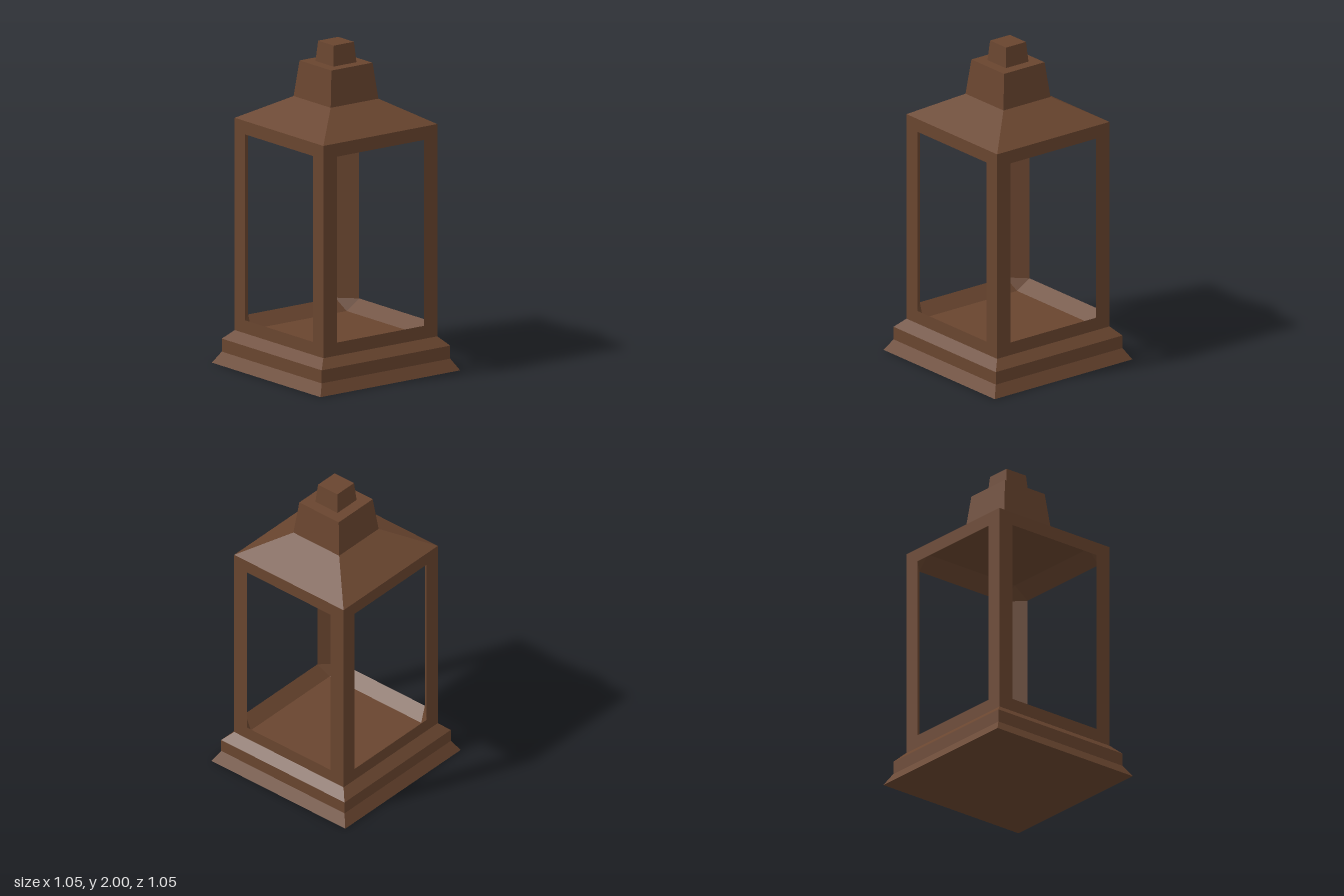
import * as THREE from 'three';

const bronze = new THREE.MeshStandardMaterial({ color: 0x69452f, flatShading: true });
bronze.name = 'bronzeBrown';

// Square tier stack from [half width, height] pairs, listed from bottom to top
function squareStack(name, profile) {
  const points = profile.map(([half, y]) => new THREE.Vector2(half * Math.SQRT2, y));
  const geometry = new THREE.LatheGeometry(points, 4);
  geometry.rotateY(Math.PI / 4);
  const mesh = new THREE.Mesh(geometry, bronze);
  mesh.name = name;
  return mesh;
}

// Convex polygons as triangle fans
function facets(name, polygons) {
  const positions = [];
  for (const p of polygons) {
    for (let i = 1; i < p.length - 1; i++) positions.push(...p[0], ...p[i], ...p[i + 1]);
  }
  const geometry = new THREE.BufferGeometry();
  geometry.setAttribute('position', new THREE.Float32BufferAttribute(positions, 3));
  geometry.computeVertexNormals();
  const mesh = new THREE.Mesh(geometry, bronze);
  mesh.name = name;
  return mesh;
}

const W = 0.43;                     // cage half width
const A = 0.328;                    // window half width
const Y0 = 0.205, Y1 = 1.51;        // cage bottom and top
const B = 0.285, T = 1.428;         // window bottom and top
const F = 0.36, FY = 0.212;         // floor half width and height
const C = 0.34, CY = 1.505;         // ceiling half width and height

// One side of the cage: outer frame, bevelled rails and one corner post
function cageSide() {
  const side = new THREE.Group();

  const outline = new THREE.Shape([
    new THREE.Vector2(-W, Y0), new THREE.Vector2(W, Y0),
    new THREE.Vector2(W, Y1), new THREE.Vector2(-W, Y1)]);
  outline.holes.push(new THREE.Path([
    new THREE.Vector2(-A, B), new THREE.Vector2(-A, T),
    new THREE.Vector2(A, T), new THREE.Vector2(A, B)]));
  const frame = new THREE.Mesh(new THREE.ShapeGeometry(outline), bronze);
  frame.position.z = W;
  frame.name = 'windowFrame';

  const bottomRail = facets('bottomRailBevel', [[[-A, B, W], [A, B, W], [F, FY, F], [-F, FY, F]]]);
  const topRail = facets('topRailBevel', [[[A, T, W], [-A, T, W], [-C, CY, C], [C, CY, C]]]);

  // Diagonal inner face of the post with its corner gussets
  const post = facets('cornerPostInside', [
    [[W, B, A], [A, B, W], [A, T, W], [W, T, A]],
    [[A, B, W], [W, B, A], [F, FY, F]],
    [[W, T, A], [A, T, W], [C, CY, C]],
  ]);

  side.add(frame, bottomRail, topRail, post);
  return side;
}

export function createModel() {
  const lantern = new THREE.Group();
  lantern.name = 'lantern';

  // Stepped base
  lantern.add(squareStack('base', [[0, 0], [0.527, 0], [0.485, 0.07], [0.485, 0.15], [W, Y0]]));

  // Open cage
  const cage = new THREE.Group();
  cage.name = 'cage';
  for (let i = 0; i < 4; i++) {
    const side = cageSide();
    side.name = 'cageSide' + (i + 1);
    side.rotation.y = i * Math.PI / 2;
    cage.add(side);
  }
  cage.add(facets('floor', [[[-F, FY, F], [F, FY, F], [F, FY, -F], [-F, FY, -F]]]));
  cage.add(facets('ceiling', [[[-C, CY, -C], [C, CY, -C], [C, CY, C], [-C, CY, C]]]));
  lantern.add(cage);

  // Roof, chimney and cap
  lantern.add(squareStack('roof', [[W, Y1], [0.18, 1.655]]));
  lantern.add(squareStack('chimney', [[0.18, 1.655], [0.155, 1.875], [0, 1.875]]));
  lantern.add(squareStack('cap', [[0.087, 1.875], [0.076, 2], [0, 2]]));

  return lantern;
}
